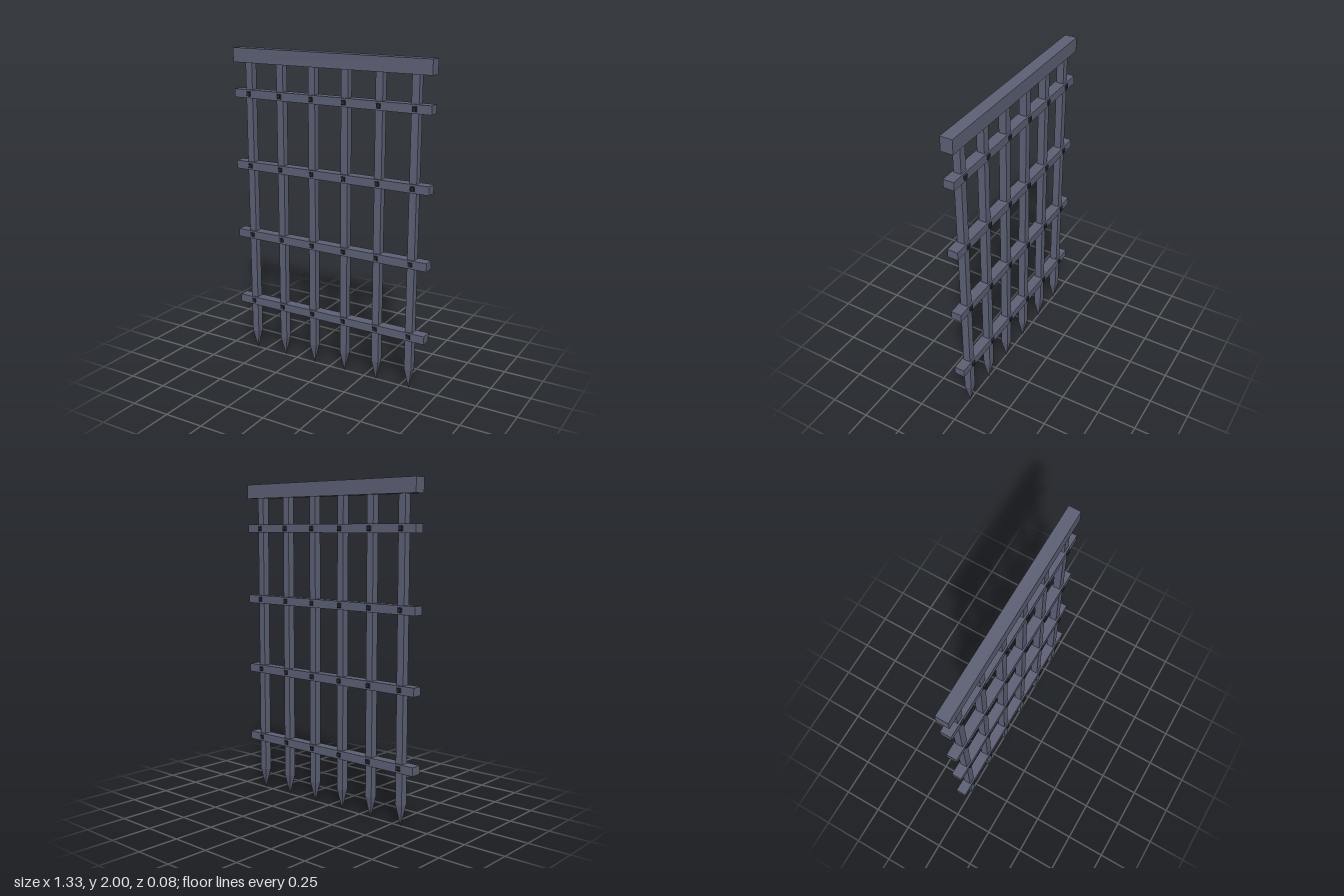
import * as THREE from 'three';

export function createModel() {
  const group = new THREE.Group();
  group.name = 'portcullis';
  const iron = new THREE.MeshStandardMaterial({ color: 0x5c6074 });
  iron.name = 'grey iron';
  const dark = new THREE.MeshStandardMaterial({ color: 0x262833 });
  dark.name = 'dark rivet';

  const add = (name, geometry, material, x, y, z) => {
    const mesh = new THREE.Mesh(geometry, material);
    mesh.name = name;
    mesh.position.set(x, y, z);
    group.add(mesh);
    return mesh;
  };
  // Square tapered prism with flat sides facing the axes
  const taper = (top, bottom, height) => {
    const g = new THREE.CylinderGeometry(top * Math.SQRT1_2, bottom * Math.SQRT1_2, height, 4, 1)
      .rotateY(Math.PI / 4).toNonIndexed();
    g.computeVertexNormals();
    return g;
  };

  const barXs = [-0.562, -0.337, -0.112, 0.112, 0.337, 0.562];
  const railYs = [0.351, 0.81, 1.267, 1.722];
  const barWidth = 0.046, tipHeight = 0.13, barTop = 1.93;

  // Heavy top beam
  add('topBeam', new THREE.BoxGeometry(1.333, 0.088, 0.075), iron, 0, 1.956, 0);

  // Horizontal rails
  const rail = new THREE.BoxGeometry(1.333, 0.052, 0.066);
  for (const y of railYs) add('rail', rail, iron, 0, y, 0);

  // Upright bars with pointed feet
  const bar = new THREE.BoxGeometry(barWidth, barTop - tipHeight, barWidth);
  const tip = taper(barWidth, 0.001, tipHeight);
  // Rivets on both faces of each crossing
  const rivet = taper(0.022, 0.03, 0.008).rotateX(Math.PI / 2);
  for (const x of barXs) {
    add('uprightBar', bar, iron, x, (barTop + tipHeight) / 2, 0);
    add('spike', tip, iron, x, tipHeight / 2, 0);
    for (const y of railYs) {
      add('frontRivet', rivet, dark, x, y, 0.036);
      add('backRivet', rivet, dark, x, y, -0.036).rotation.y = Math.PI;
    }
  }
  return group;
}
